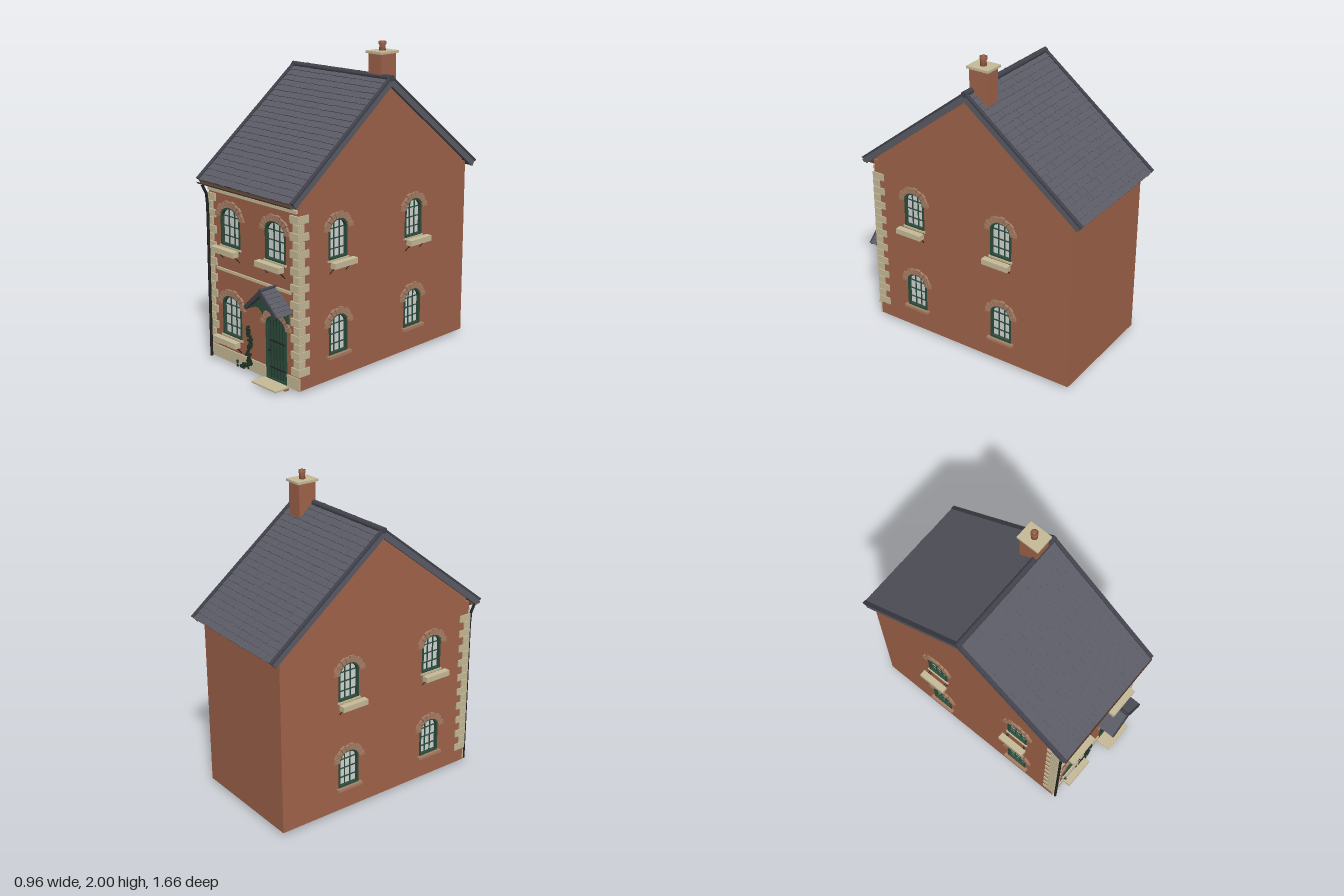
import * as THREE from 'three';
import { mergeGeometries } from 'three/addons/utils/BufferGeometryUtils.js';

const mat = (name, color, side = THREE.FrontSide) => {
  const m = new THREE.MeshStandardMaterial({ color, side });
  m.name = name;
  return m;
};
const M = {
  brick: mat('brick', 0xa0634a), slate: mat('slate', 0x5a5b65), dark: mat('dark slate', 0x41424b),
  stone: mat('pale stone', 0xc6ba98), arch: mat('arch stone', 0xa67d64), green: mat('painted green', 0x2c4d3c),
  glass: mat('glass', 0xd3d6d4), ivy: mat('ivy', 0x1f3328), iron: mat('iron', 0x242325),
  wood: mat('brown wood', 0x5f4738, THREE.DoubleSide),
};

let seed = 7;
const rnd = () => (seed = (seed * 16807) % 2147483647) / 2147483647;

function add(parent, name, geo, material, x = 0, y = 0, z = 0) {
  const m = new THREE.Mesh(geo, material);
  m.name = name;
  m.position.set(x, y, z);
  parent.add(m);
  return m;
}
function group(parent, name, x = 0, y = 0, z = 0, ry = 0) {
  const g = new THREE.Group();
  g.name = name;
  g.position.set(x, y, z);
  g.rotation.y = ry;
  parent.add(g);
  return g;
}
// Box given by its lower and upper corners
const span = (x0, x1, y0, y1, z0, z1) =>
  new THREE.BoxGeometry(x1 - x0, y1 - y0, z1 - z0).translate((x0 + x1) / 2, (y0 + y1) / 2, (z0 + z1) / 2);
const extrude = (shape, depth, z = 0) =>
  new THREE.ExtrudeGeometry(shape, { depth, bevelEnabled: false, curveSegments: 16 }).translate(0, 0, z);
const poly = (pts) => new THREE.Shape(pts.map(([x, y]) => new THREE.Vector2(x, y)));
const tube = (pts, r) => new THREE.TubeGeometry(
  new THREE.CatmullRomCurve3(pts.map((p) => new THREE.Vector3(...p))), 16, r, 8);

// Flattened round-headed opening: centre u, base y, width w, height h
const RISE = 0.07;
function archShape(o, inset = 0, Type = THREE.Shape) {
  const r = o.w / 2 - inset, spring = o.y + o.h - RISE;
  const s = new Type();
  s.moveTo(o.u - r, o.y + inset);
  s.lineTo(o.u + r, o.y + inset);
  s.lineTo(o.u + r, spring);
  s.absellipse(o.u, spring, r, RISE - inset, 0, Math.PI, false);
  s.closePath();
  return s;
}

function wall(f, outline, openings) {
  const s = poly(outline);
  openings.forEach((o) => s.holes.push(archShape(o, 0, THREE.Path)));
  add(f, 'brickWall', extrude(s, 0.03, -0.03), M.brick);
}

// Wedge stones around the head of an opening
function archStones(f, o, n) {
  const cy = o.y + o.h - RISE, stones = [];
  const at = (a, d) => [o.u + Math.cos(a) * (o.w / 2 + d), cy + Math.sin(a) * (RISE + d)];
  for (let i = 0; i < n; i++) {
    const a = (i + 0.06) * Math.PI / n, b = (i + 0.94) * Math.PI / n;
    const d = i % 2 ? 0.036 : 0.042;
    stones.push(extrude(poly([at(a, 0), at(a, d), at(b, d), at(b, 0)]), 0.02, -0.006));
  }
  add(f, 'archStones', mergeGeometries(stones), M.arch);
}

function windowUnit(f, o) {
  const g = group(f, 'window');
  add(g, 'glass', extrude(archShape(o, 0.004), 0.004, -0.02), M.glass);
  const frame = archShape(o);
  frame.holes.push(archShape(o, 0.013, THREE.Path));
  const bars = [extrude(frame, 0.022, -0.018)];
  add(g, 'frame', bars[0], M.green);
  const lines = [];
  for (const k of [-1, 1]) {
    const x = o.u + k * o.w * 0.14;
    lines.push(span(x - 0.0025, x + 0.0025, o.y + 0.01, o.y + o.h - 0.012, -0.016, -0.008));
  }
  for (let k = 1; k < 4; k++) {
    const y = o.y + k * o.h * 0.25;
    lines.push(span(o.u - o.w / 2 + 0.01, o.u + o.w / 2 - 0.01, y - 0.0025, y + 0.0025, -0.016, -0.008));
  }
  add(g, 'glazingBars', mergeGeometries(lines), M.green);
  archStones(g, o, o.w > 0.16 ? 11 : 10);
  const hw = o.w / 2 + 0.018;
  if (o.shelf) {
    // Stone window box carried on iron brackets
    add(g, 'windowBox', span(o.u - hw, o.u + hw, o.y - 0.035, o.y, 0.033, 0.075), M.stone);
    add(g, 'sill', span(o.u - hw + 0.01, o.u + hw - 0.01, o.y - 0.012, o.y, -0.02, 0.012), M.stone);
    for (const k of [-1, 1]) {
      const x = o.u + k * o.w * 0.44;
      add(g, 'bracket', mergeGeometries([
        tube([[x, o.y - 0.085, 0], [x, o.y - 0.06, 0.022], [x, o.y - 0.035, 0.055]], 0.0028),
        tube([[x, o.y - 0.02, 0], [x, o.y - 0.02, 0.04]], 0.0028)]), M.iron);
    }
  } else add(g, 'sill', span(o.u - hw, o.u + hw, o.y - 0.018, o.y, -0.02, 0.025), M.arch);
}

// Pitched plane of overlapping slates; local z runs down the slope
function slope(parent, angle, width, length, rows, cols, thick) {
  const g = group(parent, 'roofSlope');
  g.rotation.x = angle;
  add(g, 'roofDeck', span(-width / 2, width / 2, -thick, -0.002, 0, length - 0.006), M.dark);
  const list = [], sw = width / cols, step = length / rows;
  for (let r = 0; r < rows; r++) for (let c = 0; c < cols; c++) {
    list.push(new THREE.BoxGeometry(sw * 0.985, 0.005, step * 1.25).rotateX(-0.09)
      .translate(-width / 2 + (c + 0.5) * sw, 0.001 + rnd() * 0.002, (r + 0.42) * step + rnd() * 0.004));
  }
  add(g, 'slates', mergeGeometries(list), M.slate);
  return g;
}

function mainRoof(root) {
  const angle = Math.atan(0.785), L = 1.01, W = 0.84;
  for (const ry of [0, Math.PI]) {
    const side = group(root, 'roofSide', 0, 1.795, -0.03, ry);
    const g = slope(side, angle, W, L, 22, 24, 0.036);
    for (const k of [-1, 1]) {
      add(g, 'vergeBoard', new THREE.BoxGeometry(0.018, 0.042, L), M.slate, k * 0.423, -0.016, L / 2);
      add(g, 'vergeCap', new THREE.BoxGeometry(0.024, 0.012, L + 0.004), M.dark, k * 0.424, 0.007, L / 2);
    }
  }
  const ridge = new THREE.CylinderGeometry(0.019, 0.019, 0.87, 12).rotateZ(Math.PI / 2);
  add(root, 'ridgeTiles', ridge, M.dark, 0, 1.796, -0.03);
  for (const x of [-0.3, -0.15, 0, 0.15]) {
    add(root, 'ridgeJoint', new THREE.CylinderGeometry(0.0205, 0.0205, 0.012, 12).rotateZ(Math.PI / 2), M.dark, x, 1.796, -0.03);
  }
}

function chimney(root) {
  const g = group(root, 'chimney', 0.305, 0, -0.078);
  add(g, 'stack', span(-0.054, 0.054, 1.66, 1.932, -0.062, 0.062), M.brick);
  add(g, 'cap', span(-0.064, 0.064, 1.93, 1.945, -0.077, 0.077), M.stone);
  const pot = [[0, 1.94], [0.021, 1.94], [0.018, 1.978], [0.023, 1.982], [0.023, 2], [0.014, 2], [0.014, 1.97], [0, 1.97]];
  add(g, 'pot', new THREE.LatheGeometry(pot.map((p) => new THREE.Vector2(...p)), 16), M.brick);
}

function door(f, o) {
  const g = group(f, 'door');
  add(g, 'doorPanel', extrude(archShape(o), 0.012, -0.014), M.green);
  const rim = archShape(o);
  rim.holes.push(archShape(o, 0.01, THREE.Path));
  add(g, 'doorFrame', extrude(rim, 0.012, -0.006), M.green);
  for (let k = -2; k <= 2; k++) {
    const x = o.u + k * 0.027, top = o.y + o.h - 0.02 - Math.abs(k) * 0.009;
    add(g, 'plankGroove', span(x - 0.002, x + 0.002, o.y + 0.01, top, -0.004, 0), M.ivy);
  }
  for (const y of [0.1, 0.27]) add(g, 'strapHinge', span(o.u - 0.06, o.u + 0.08, y, y + 0.008, -0.002, 0.004), M.iron);
  add(g, 'knob', new THREE.SphereGeometry(0.007, 12, 8), M.iron, o.u - 0.062, 0.21, 0.006);
  archStones(g, o, 11);
  add(g, 'stepTop', span(o.u - 0.11, o.u + 0.11, 0.016, 0.026, -0.02, 0.11), M.stone);
  add(g, 'stepBase', span(o.u - 0.105, o.u + 0.105, 0, 0.016, 0, 0.03), M.brick);
}

function porch(f) {
  const g = group(f, 'porch', 0.203, 0.622, 0);
  for (const s of [-1, 1]) {
    const side = group(g, 'porchSide', 0, 0, 0.062, s * Math.PI / 2);
    const p = slope(side, 0.74, 0.125, 0.192, 6, 5, 0.018);
    add(p, 'bargeBoard', new THREE.BoxGeometry(0.01, 0.026, 0.194), M.dark, -s * 0.062, -0.006, 0.097);
    const x = s * 0.108;
    add(g, 'porchBracket', tube([[x, -0.2, 0.004], [x, -0.17, 0.02], [x, -0.135, 0.05], [x, -0.122, 0.1]], 0.007), M.green);
    add(g, 'porchBeam', span(x - 0.007, x + 0.007, -0.124, -0.108, 0, 0.115), M.green);
    add(g, 'wallPost', span(x - 0.006, x + 0.006, -0.205, -0.115, 0, 0.01), M.green);
  }
  add(g, 'porchGable', extrude(poly([[-0.105, -0.118], [0.105, -0.118], [0, -0.022]]), 0.008, 0.09), M.green);
  add(g, 'porchRidge', new THREE.CylinderGeometry(0.01, 0.01, 0.13, 10).rotateX(Math.PI / 2), M.dark, 0, 0.003, 0.065);
  add(g, 'finial', new THREE.ConeGeometry(0.008, 0.02, 8), M.dark, 0, 0.012, 0.12);
}

// Corner stones wrapped around a front corner, alternating long and short
function quoins(root, s) {
  const list = [];
  for (let i = 0; i < 19; i++) {
    const y = 0.112 + i * 0.0515, wide = i % 2 === 0;
    const a = s * (wide ? 0.34 : 0.365), b = s * 0.412;
    list.push(span(Math.min(a, b), Math.max(a, b), y, y + 0.047, wide ? 0.625 : 0.66, 0.712));
  }
  add(root, 'cornerStones', mergeGeometries(list), M.stone);
}

function ivy(f) {
  const path = new THREE.CatmullRomCurve3([[-0.13, 0.035], [-0.07, 0.05], [-0.03, 0.09], [-0.045, 0.15], [-0.015, 0.2], [-0.03, 0.25], [-0.025, 0.3]]
    .map(([x, y]) => new THREE.Vector3(x, y, 0.012)));
  const leaves = [];
  for (let i = 0; i < 110; i++) {
    const p = path.getPoint(i / 109), spread = 0.045 - 0.012 * (i / 109);
    leaves.push(new THREE.IcosahedronGeometry(0.008 + rnd() * 0.004, 0).scale(1, 1, 0.5).rotateY(rnd() - 0.5)
      .translate(p.x + (rnd() - 0.5) * spread, Math.max(0.03, p.y + (rnd() - 0.5) * spread), p.z + rnd() * 0.012));
  }
  add(f, 'ivyLeaves', mergeGeometries(leaves), M.ivy);
  add(f, 'ivyStem', new THREE.TubeGeometry(path, 32, 0.003, 6), M.ivy);
}

export function createModel() {
  const root = new THREE.Group();
  root.name = 'townhouse';

  // Front wall with windows, door, bands and planting
  const front = group(root, 'front', 0, 0, 0.7);
  const fw = [[-0.205, 0.195, 0.265], [-0.205, 0.775, 0.247], [0.205, 0.775, 0.247]]
    .map(([u, y, h]) => ({ u, y, h, w: 0.18, shelf: true }));
  const doorway = { u: 0.203, y: 0.026, h: 0.412, w: 0.184 };
  wall(front, [[-0.405, 0.022], [0.405, 0.022], [0.405, 1.17], [-0.405, 1.17]], [...fw, doorway]);
  fw.forEach((o) => windowUnit(front, o));
  door(front, doorway);
  porch(front);
  ivy(front);
  add(front, 'plinth', span(-0.408, 0.108, 0.022, 0.1, 0, 0.008), M.stone);
  add(front, 'plinth', span(0.298, 0.408, 0.022, 0.1, 0, 0.008), M.stone);
  add(front, 'stringCourse', span(-0.34, 0.34, 0.607, 0.624, 0, 0.01), M.stone);
  add(front, 'cornice', span(-0.4, 0.4, 1.102, 1.122, 0, 0.016), M.stone);
  add(front, 'eavesBoard', span(-0.405, 0.405, 1.14, 1.165, 0, 0.05), M.wood);

  // Gabled side walls; u is measured along each wall
  for (const s of [-1, 1]) {
    const side = group(root, s > 0 ? 'leftSide' : 'rightSide', s * 0.405, 0, 0, s * Math.PI / 2);
    const u = (z) => -s * z;
    const outline = [[0.67, 0.022], [0.67, 1.2], [-0.03, 1.757], [-0.73, 1.2], [-0.73, 0.022]].map(([z, y]) => [u(z), y]);
    const wins = [];
    for (const z of [0.39, -0.265]) {
      wins.push({ u: u(z), y: 0.775, w: 0.152, h: 0.247, shelf: true }, { u: u(z), y: 0.18, w: 0.152, h: 0.25 });
    }
    wall(side, outline, wins);
    wins.forEach((o) => windowUnit(side, o));
    quoins(root, s);
  }

  // Plain back wall
  const back = group(root, 'back', 0, 0, -0.76, Math.PI);
  wall(back, [[-0.405, 0.022], [0.405, 0.022], [0.405, 1.18], [-0.405, 1.18]], []);

  // Rooms, open underneath
  const rooms = group(root, 'interior');
  add(rooms, 'upperFloor', span(-0.375, 0.375, 0.58, 0.605, -0.73, 0.67), M.wood);
  add(rooms, 'crossWall', span(-0.375, 0.375, 0.06, 0.58, -0.06, -0.035), M.arch);
  add(rooms, 'hallWall', span(0.0, 0.025, 0.06, 0.58, -0.73, 0.2), M.arch);

  // Roof, chimney and rainwater pipes
  mainRoof(root);
  chimney(root);
  add(root, 'gutter', new THREE.CylinderGeometry(0.015, 0.015, 0.85, 12, 1, true, Math.PI, Math.PI).rotateZ(Math.PI / 2), M.wood, 0, 1.158, 0.764);
  add(root, 'downpipe', tube([[-0.395, 1.145, 0.764], [-0.395, 1.12, 0.75], [-0.395, 1.07, 0.727], [-0.395, 1.0, 0.724],
    [-0.395, 0.6, 0.724], [-0.395, 0.2, 0.724], [-0.395, 0.022, 0.724]], 0.009), M.iron);
  return root;
}
